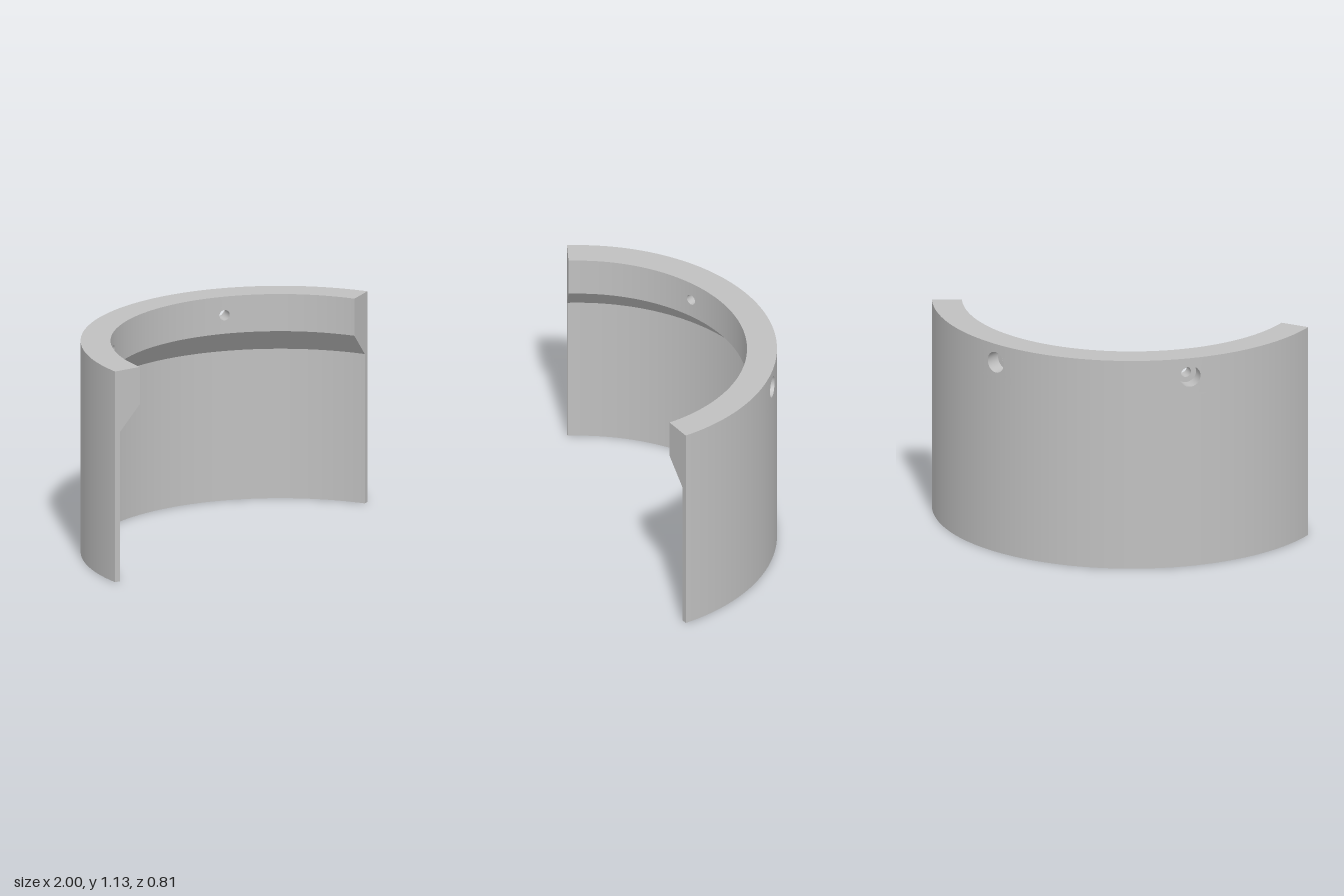
import * as THREE from 'three';

const DEG = Math.PI / 180;
const R = 1.0353;        // outer radius
const RIM = 0.88;        // inner radius of the thick rim
const WALL = 1.004;      // inner radius of the thin skirt
const TOP = 1.135, LEDGE = 0.935, SKIRT = 0.805;
const CENTRE_Z = 0.6315; // axis of the arc
const HALF = 75;         // half angle of the arc, degrees
const HOLE_ANGLE = 30, HOLE_Y = 1.035, BORE = 0.028, COUNTERBORE = 0.056, DEPTH = 0.08;
const PATCH = 6, PATCH_Y = 0.1; // half size of the wall patch round each hole
const N = 32;

export function createModel() {
  const model = new THREE.Group();
  model.name = 'halfCollar';
  const grey = new THREE.MeshStandardMaterial({ color: 0xc0c0c0, side: THREE.DoubleSide });
  grey.name = 'grey';

  const body = new THREE.Group();
  body.name = 'collarBody';
  body.position.z = CENTRE_Z;
  model.add(body);

  const add = (parent, name, geometry) => {
    const mesh = new THREE.Mesh(geometry, grey);
    mesh.name = name;
    parent.add(mesh);
    return mesh;
  };

  // Sweep one straight profile edge round the arc; angles run from the back centre
  const sweep = (name, from, to, a0 = -HALF, a1 = HALF) => {
    const points = [from, to].map(([r, y]) => new THREE.Vector2(r, y));
    add(body, name, new THREE.LatheGeometry(points, Math.round((a1 - a0) / 1.5), (180 - a1) * DEG, (a1 - a0) * DEG));
  };

  // Plain walls, ledge and rims
  sweep('outerWall', [R, 0], [R, LEDGE]);
  sweep('topRim', [R, TOP], [RIM, TOP]);
  sweep('slopedLedge', [RIM, LEDGE], [WALL, SKIRT]);
  sweep('skirtInside', [WALL, SKIRT], [WALL, 0]);
  sweep('bottomRim', [WALL, 0], [R, 0]);

  // Upper band, left open where the holes pass through
  const gap0 = HOLE_ANGLE - PATCH, gap1 = HOLE_ANGLE + PATCH;
  for (const [a0, a1] of [[-HALF, -gap1], [-gap0, gap0], [gap1, HALF]]) {
    sweep('outerBand', [R, LEDGE], [R, TOP], a0, a1);
    sweep('innerBand', [RIM, TOP], [RIM, LEDGE], a0, a1);
  }

  // End faces
  const profile = [[WALL, 0], [R, 0], [R, TOP], [RIM, TOP], [RIM, LEDGE], [WALL, SKIRT]];
  const shape = new THREE.Shape(profile.map(([x, y]) => new THREE.Vector2(x, y)));
  for (const side of [1, -1]) {
    const cap = add(body, side > 0 ? 'leftEndFace' : 'rightEndFace', new THREE.ShapeGeometry(shape));
    cap.rotation.y = (90 - side * HALF) * DEG;
  }

  // Counterbored screw holes
  for (const side of [1, -1]) {
    const hole = new THREE.Group();
    hole.name = side > 0 ? 'leftScrewHole' : 'rightScrewHole';
    hole.position.y = HOLE_Y;
    hole.rotation.y = -side * HOLE_ANGLE * DEG;
    body.add(hole);
    const steps = [0, 0.25, 0.5, 0.75, 1];
    const floorZ = -(R - DEPTH);
    add(hole, 'outerPatch', loft(steps.map(s => wallRing(R, COUNTERBORE, 1 - s))));
    add(hole, 'counterbore', loft([wallRing(R, COUNTERBORE, 0), flatRing(COUNTERBORE, floorZ)]));
    add(hole, 'counterboreFloor', loft([flatRing(COUNTERBORE, floorZ), flatRing(BORE, floorZ)]));
    add(hole, 'bore', loft([flatRing(BORE, floorZ), wallRing(RIM, BORE, 0)]));
    add(hole, 'innerPatch', loft(steps.map(s => wallRing(RIM, BORE, s))));
  }
  return model;
}

// Ring on a curved wall, blending from a round hole (s = 0) to a square patch (s = 1)
function wallRing(radius, h, s) {
  const wave = k => THREE.MathUtils.clamp(Math.abs((k % N) - N / 2) / 4 - 2, -1, 1);
  return Array.from({ length: N }, (_, k) => {
    const t = (k / N) * Math.PI * 2;
    const a = THREE.MathUtils.lerp(Math.asin(h * Math.cos(t) / radius), wave(k) * PATCH * DEG, s);
    const y = THREE.MathUtils.lerp(h * Math.sin(t), wave(k + 24) * PATCH_Y, s);
    return [radius * Math.sin(a), y, -radius * Math.cos(a)];
  });
}

// Flat circle across the hole axis
function flatRing(h, z) {
  return Array.from({ length: N }, (_, k) => {
    const t = (k / N) * Math.PI * 2;
    return [h * Math.cos(t), h * Math.sin(t), z];
  });
}

// Skin a sequence of closed rings
function loft(rings) {
  const index = [];
  for (let j = 0; j < rings.length - 1; j++) {
    for (let k = 0; k < N; k++) {
      const n = (k + 1) % N, a = j * N, b = a + N;
      index.push(a + k, b + k, b + n, a + k, b + n, a + n);
    }
  }
  const geometry = new THREE.BufferGeometry();
  geometry.setAttribute('position', new THREE.Float32BufferAttribute(rings.flat(2), 3));
  geometry.setIndex(index);
  geometry.computeVertexNormals();
  return geometry;
}
